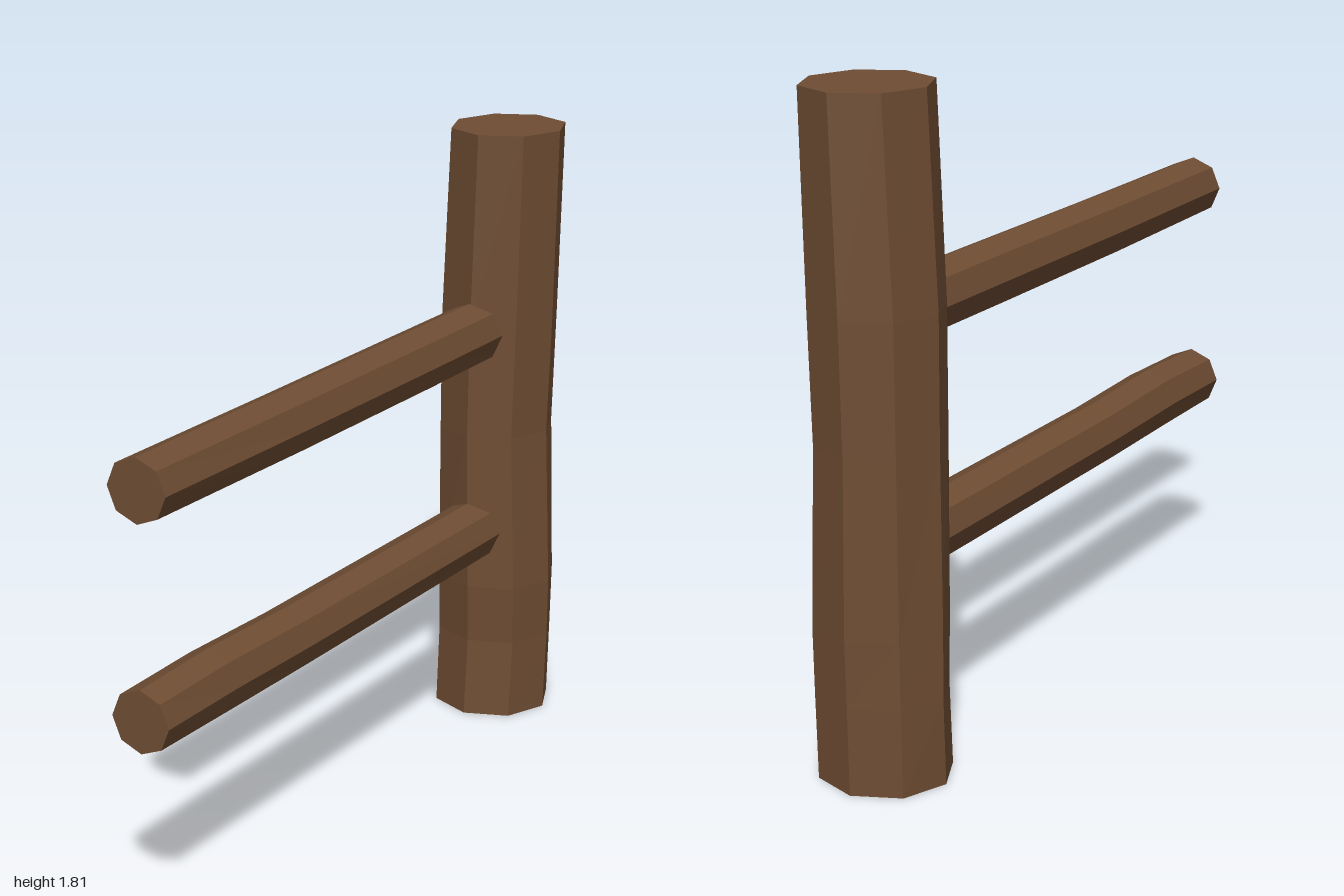
import * as THREE from 'three';

const wood = new THREE.MeshStandardMaterial({ color: 0x6f4d33, flatShading: true });

// Eight-sided log along y; each section is [y, minX, maxX, minZ, maxZ], from bottom to top
function log(name, sections) {
  const n = sections.length - 1;
  const geometry = new THREE.CylinderGeometry(1, 1, 1, 8, n);
  const p = geometry.attributes.position;
  for (let i = 0; i < p.count; i++) {
    const [y, x0, x1, z0, z1] = sections[Math.round((p.getY(i) + 0.5) * n)];
    p.setXYZ(
      i,
      (x0 + x1) / 2 + p.getX(i) * (x1 - x0) / 2,
      y,
      (z0 + z1) / 2 + p.getZ(i) * (z1 - z0) / 2
    );
  }
  geometry.computeVertexNormals();
  const mesh = new THREE.Mesh(geometry, wood);
  mesh.name = name;
  return mesh;
}

// Log lying along z; each section is [z, minX, maxX, minY, maxY], from back to front
function rail(name, sections) {
  const mesh = log(name, sections.map(([z, x0, x1, y0, y1]) => [z, x0, x1, -y1, -y0]));
  mesh.geometry.rotateX(Math.PI / 2);
  return mesh;
}

export function createModel() {
  const group = new THREE.Group();
  group.name = 'fenceSection';

  // Upright post, slightly crooked
  group.add(log('post', [
    [0, -0.186, 0.176, -0.997, -0.645],
    [0.24, -0.184, 0.181, -0.997, -0.657],
    [0.42, -0.182, 0.185, -0.998, -0.645],
    [0.9, -0.177, 0.166, -0.998, -0.64],
    [1.25, -0.178, 0.176, -1, -0.64],
    [1.81, -0.152, 0.185, -1, -0.64],
  ]));

  // Two rails reaching forward, with their back ends sunk into the post
  group.add(rail('upperRail', [
    [-0.8, -0.095, 0.088, 1.126, 1.31],
    [-0.3, -0.095, 0.088, 1.122, 1.308],
    [0.35, -0.096, 0.084, 1.12, 1.303],
    [0.99, -0.096, 0.082, 1.125, 1.3],
  ]));
  group.add(rail('lowerRail', [
    [-0.8, -0.093, 0.09, 0.508, 0.688],
    [0.35, -0.093, 0.084, 0.506, 0.688],
    [0.7, -0.093, 0.084, 0.508, 0.698],
    [1, -0.095, 0.082, 0.512, 0.688],
  ]));

  return group;
}
